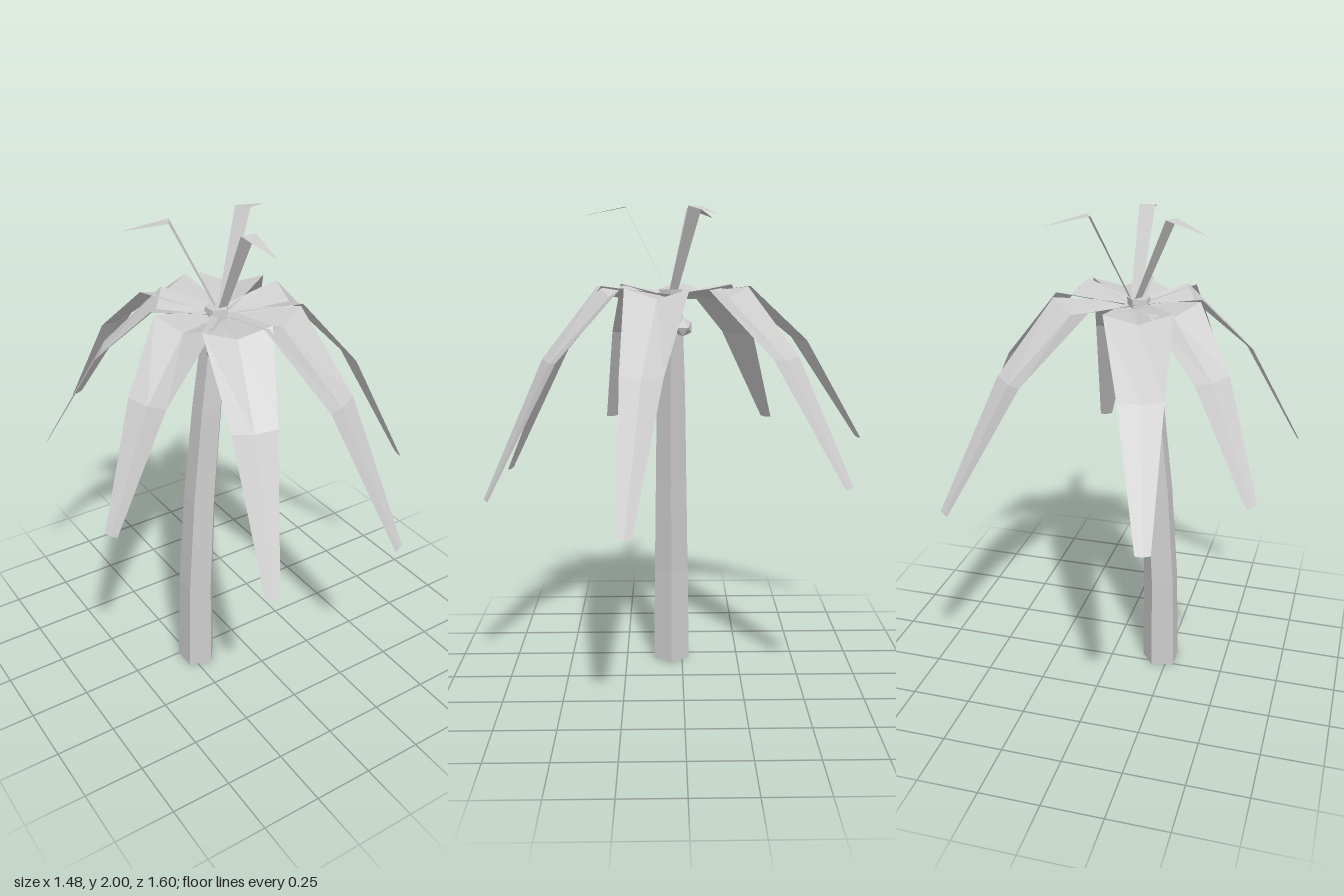
import * as THREE from 'three';

const grey = new THREE.MeshStandardMaterial({ color: 0xcccccc, flatShading: true });
const leafGrey = new THREE.MeshStandardMaterial({ color: 0xcccccc, flatShading: true, side: THREE.DoubleSide });

// Centre of the crown
const CX = -0.08, CZ = 0.045;

// Folded blade running outwards from the crown towards `angle`.
// Each section is [distance, edge height, half width, drop of the crease].
function blade(name, angle, sections) {
  const dx = Math.cos(angle), dz = Math.sin(angle);
  const pos = [], index = [];
  sections.forEach(([r, y, w, drop], i) => {
    for (let j = -1; j <= 1; j++) {
      pos.push(CX + dx * r - dz * w * j, j === 0 ? y - drop : y, CZ + dz * r + dx * w * j);
    }
    if (i === 0) return;
    for (let j = 0; j < 2; j++) {
      const a = (i - 1) * 3 + j, c = i * 3 + j;
      index.push(a, a + 1, c, a + 1, c + 1, c);
    }
  });
  const geo = new THREE.BufferGeometry();
  geo.setAttribute('position', new THREE.Float32BufferAttribute(pos, 3));
  geo.setIndex(index);
  geo.computeVertexNormals();
  const mesh = new THREE.Mesh(geo, leafGrey);
  mesh.name = name;
  return mesh;
}

// Leaning five-sided trunk, bent by a table of [y, centre x, radius]
function makeTrunk() {
  const rings = [[0, -0.218, 0.083], [0.42, -0.21, 0.077], [0.84, -0.184, 0.07], [1.25, -0.143, 0.063], [1.67, -0.095, 0.048]];
  const geo = new THREE.CylinderGeometry(1, 1, 1, 5, rings.length - 1, false, Math.PI / 2);
  const p = geo.attributes.position;
  for (let i = 0; i < p.count; i++) {
    const [y, cx, r] = rings[Math.round((p.getY(i) + 0.5) * (rings.length - 1))];
    p.setXYZ(i, cx + p.getX(i) * r, y, 0.048 + p.getZ(i) * r);
  }
  geo.computeVertexNormals();
  const mesh = new THREE.Mesh(geo, grey);
  mesh.name = 'trunk';
  return mesh;
}

export function createModel() {
  const model = new THREE.Group();
  model.name = 'palmTree';
  model.add(makeTrunk());

  // Drooping fronds: tip x, tip z, tip height, bend height
  const fronds = new THREE.Group();
  fronds.name = 'fronds';
  const tips = [
    [0.735, 0.22, 0.84, 1.38],
    [0.49, -0.615, 0.96, 1.43],
    [-0.33, -0.795, 1.0, 1.45],
    [-0.645, -0.41, 1.04, 1.46],
    [-0.73, 0.33, 1.03, 1.46],
    [-0.325, 0.77, 0.86, 1.4],
    [0.25, 0.785, 0.86, 1.4],
  ];
  tips.forEach(([x, z, tipY, midY], i) => {
    const r = Math.hypot(x - CX, z - CZ);
    fronds.add(blade('frond' + (i + 1), Math.atan2(z - CZ, x - CX), [
      [0.02, 1.65, 0.04, 0.02],
      [r * 0.34, 1.685, 0.13, 0.04],
      [r * 0.66, midY, 0.085, 0.012],
      [r, tipY, 0.028, 0.004],
    ]));
  });
  model.add(fronds);

  // Three young shoots standing up from the crown
  const shoots = new THREE.Group();
  shoots.name = 'shoots';
  for (let i = 0; i < 3; i++) {
    shoots.add(blade('shoot' + (i + 1), Math.PI / 2 + (i * Math.PI * 2) / 3, [
      [0.01, 1.65, 0.02, 0],
      [0.185, 2.0, 0.032, 0],
      [0.355, 1.965, 0.003, 0],
    ]));
  }
  model.add(shoots);

  // Small nuts hanging under the fronds
  [[-0.015, 1.52, 0.0], [-0.14, 1.52, 0.11]].forEach(([x, y, z], i) => {
    const nut = new THREE.Mesh(new THREE.IcosahedronGeometry(0.042, 0), grey);
    nut.position.set(x, y, z);
    nut.name = 'nut' + (i + 1);
    model.add(nut);
  });

  return model;
}
